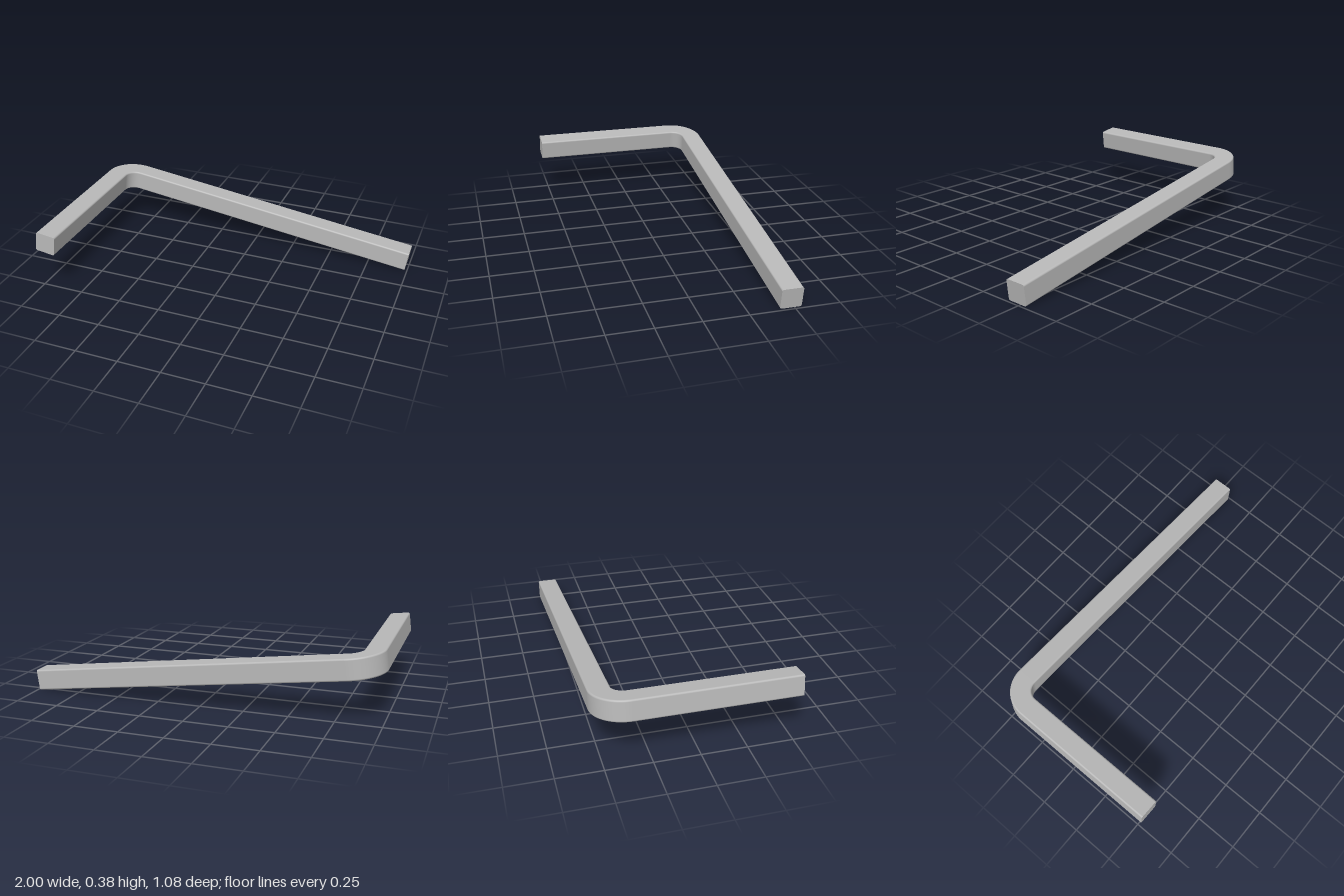
import * as THREE from 'three';

const HALF = 0.06, EDGE = 0.01; // half thickness of the bar, rounding of its long edges
const UP = new THREE.Vector3(0, 1, 0);

// Rounded square cross-section: outward offset u, upward offset v, and normal
function crossSection(steps = 4) {
  const ring = [];
  for (let corner = 0; corner < 4; corner++) {
    const su = corner === 0 || corner === 3 ? 1 : -1;
    const sv = corner < 2 ? 1 : -1;
    for (let j = 0; j <= steps; j++) {
      const a = (corner + j / steps) * Math.PI / 2;
      const nu = Math.cos(a), nv = Math.sin(a);
      ring.push({ u: su * (HALF - EDGE) + EDGE * nu, v: sv * (HALF - EDGE) + EDGE * nv, nu, nv });
    }
  }
  return ring;
}

// Stations along the L: short leg, quarter bend, long leg
function barPath(bendSteps = 24) {
  const bend = new THREE.Vector3(-0.81, 0, -0.35), radius = 0.13;
  const path = [{ p: new THREE.Vector3(-0.94, 0, 0.54), n: new THREE.Vector3(-1, 0, 0) }];
  for (let i = 0; i <= bendSteps; i++) {
    const a = i / bendSteps * Math.PI / 2;
    const n = new THREE.Vector3(-Math.cos(a), 0, -Math.sin(a));
    path.push({ p: bend.clone().addScaledVector(n, radius), n });
  }
  path.push({ p: new THREE.Vector3(1, 0, -0.48), n: new THREE.Vector3(0, 0, -1) });
  return path;
}

function sweptBar() {
  const ring = crossSection(), path = barPath(), count = ring.length;
  const positions = [], normals = [], index = [];
  const addRing = ({ p, n }, capNormal) => {
    const start = positions.length / 3;
    for (const c of ring) {
      const point = p.clone().addScaledVector(n, c.u).addScaledVector(UP, c.v);
      const normal = capNormal || n.clone().multiplyScalar(c.nu).addScaledVector(UP, c.nv);
      positions.push(...point.toArray());
      normals.push(...normal.toArray());
    }
    return start;
  };

  // Long sides
  path.forEach((station, i) => {
    const b = addRing(station);
    if (i === 0) return;
    const a = b - count;
    for (let j = 0; j < count; j++) {
      const k = (j + 1) % count;
      index.push(a + j, a + k, b + k, a + j, b + k, b + j);
    }
  });

  // Flat end faces
  const first = addRing(path[0], new THREE.Vector3(0, 0, 1));
  const last = addRing(path[path.length - 1], new THREE.Vector3(1, 0, 0));
  for (let j = 1; j < count - 1; j++) {
    index.push(first, first + j + 1, first + j);
    index.push(last, last + j, last + j + 1);
  }

  const geometry = new THREE.BufferGeometry();
  geometry.setAttribute('position', new THREE.Float32BufferAttribute(positions, 3));
  geometry.setAttribute('normal', new THREE.Float32BufferAttribute(normals, 3));
  geometry.setIndex(index);
  return geometry;
}

export function createModel() {
  const steel = new THREE.MeshStandardMaterial({ color: 0xb8b8b8 });
  steel.name = 'steel grey';

  const bar = new THREE.Mesh(sweptBar(), steel);
  bar.name = 'bentBar';
  // The bar rests on the tip of its long leg
  bar.rotation.z = -0.131;
  bar.position.y = 0.19;

  const model = new THREE.Group();
  model.name = 'bentSquareBar';
  model.add(bar);
  return model;
}
